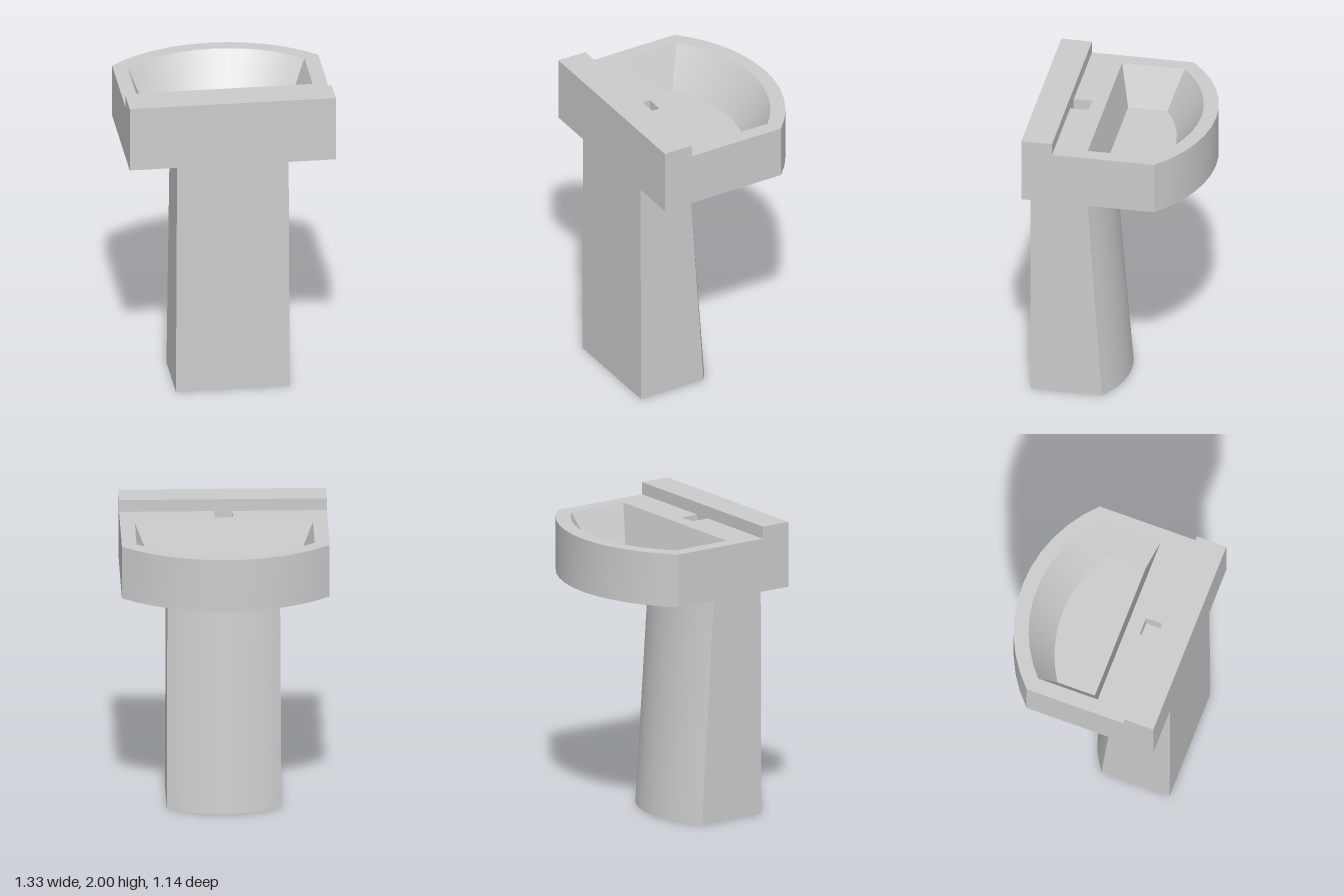
import * as THREE from 'three';
import { toCreasedNormals } from 'three/addons/utils/BufferGeometryUtils.js';

const V = (x, z) => new THREE.Vector2(x, z);

// D-shaped plan: straight back and sides, closed by a circular arc towards -z
function outline(halfWidth, zBack, zCorner, zApex, segments = 12) {
  const sag = zCorner - zApex;
  const radius = (halfWidth * halfWidth + sag * sag) / (2 * sag);
  const half = Math.asin(halfWidth / radius);
  const points = [V(halfWidth, zBack), V(-halfWidth, zBack)];
  for (let i = 0; i <= segments; i++) {
    const a = -half + (2 * half * i) / segments;
    points.push(V(radius * Math.sin(a), zApex + radius - radius * Math.cos(a)));
  }
  return points;
}

// Wall between two plans; going upwards it faces out, going downwards it faces in
function wall(from, y0, to, y1) {
  const pos = [];
  for (let i = 0; i < from.length; i++) {
    const j = (i + 1) % from.length;
    const a = [from[i].x, y0, from[i].y];
    const b = [from[j].x, y0, from[j].y];
    const c = [to[j].x, y1, to[j].y];
    const d = [to[i].x, y1, to[i].y];
    pos.push(...a, ...d, ...b, ...b, ...d, ...c);
  }
  const geo = new THREE.BufferGeometry();
  geo.setAttribute('position', new THREE.Float32BufferAttribute(pos, 3));
  return toCreasedNormals(geo, 0.4);
}

// Flat horizontal face, optionally with holes
function cap(points, y, up = true, holes = []) {
  const s = up ? -1 : 1;
  const flip = (list) => list.map((p) => V(p.x, s * p.y));
  const shape = new THREE.Shape(flip(points));
  holes.forEach((h) => shape.holes.push(new THREE.Path(flip(h))));
  return new THREE.ShapeGeometry(shape).rotateX((s * Math.PI) / 2).translate(0, y, 0);
}

export function createModel() {
  const material = new THREE.MeshStandardMaterial({ color: 0xcccccc });
  const model = new THREE.Group();
  model.name = 'pedestalSink';
  const part = (name, ...geometries) => {
    const group = new THREE.Group();
    group.name = name;
    geometries.forEach((g) => group.add(new THREE.Mesh(g, material)));
    model.add(group);
  };

  const under = 1.57, rim = 1.92, floor = 1.66, top = 2, back = 0.57;

  // Pedestal, widening slightly towards the ground
  const foot = outline(0.367, back, 0.105, -0.02);
  const neck = outline(0.36, back, 0.208, 0.112);
  part('pedestal', wall(foot, 0, neck, under), cap(foot, 0, false), cap(neck, under));

  // Basin body, with openings for the bowl and the tap recess
  const body = outline(0.665, back, -0.295, -0.57);
  const bowlTop = outline(0.57, 0.155, -0.252, -0.474);
  const bowlFloor = outline(0.463, 0.095, -0.16, -0.297);
  const recess = [V(0.058, 0.37), V(-0.058, 0.37), V(-0.058, 0.25), V(0.058, 0.25)];
  part('basin', wall(body, under, body, rim), cap(body, under, false),
    cap(body, rim, true, [bowlTop, recess]));

  // Bowl with sloping sides
  part('bowl', wall(bowlTop, rim, bowlFloor, floor), cap(bowlFloor, floor));

  // Square tap recess in the ledge
  part('tapRecess', wall(recess, rim, recess, rim - 0.1), cap(recess, rim - 0.1));

  // Raised ledge along the wall side
  part('backLedge', new THREE.BoxGeometry(1.33, top - rim, 0.2)
    .translate(0, (top + rim) / 2, back - 0.1));

  return model;
}
